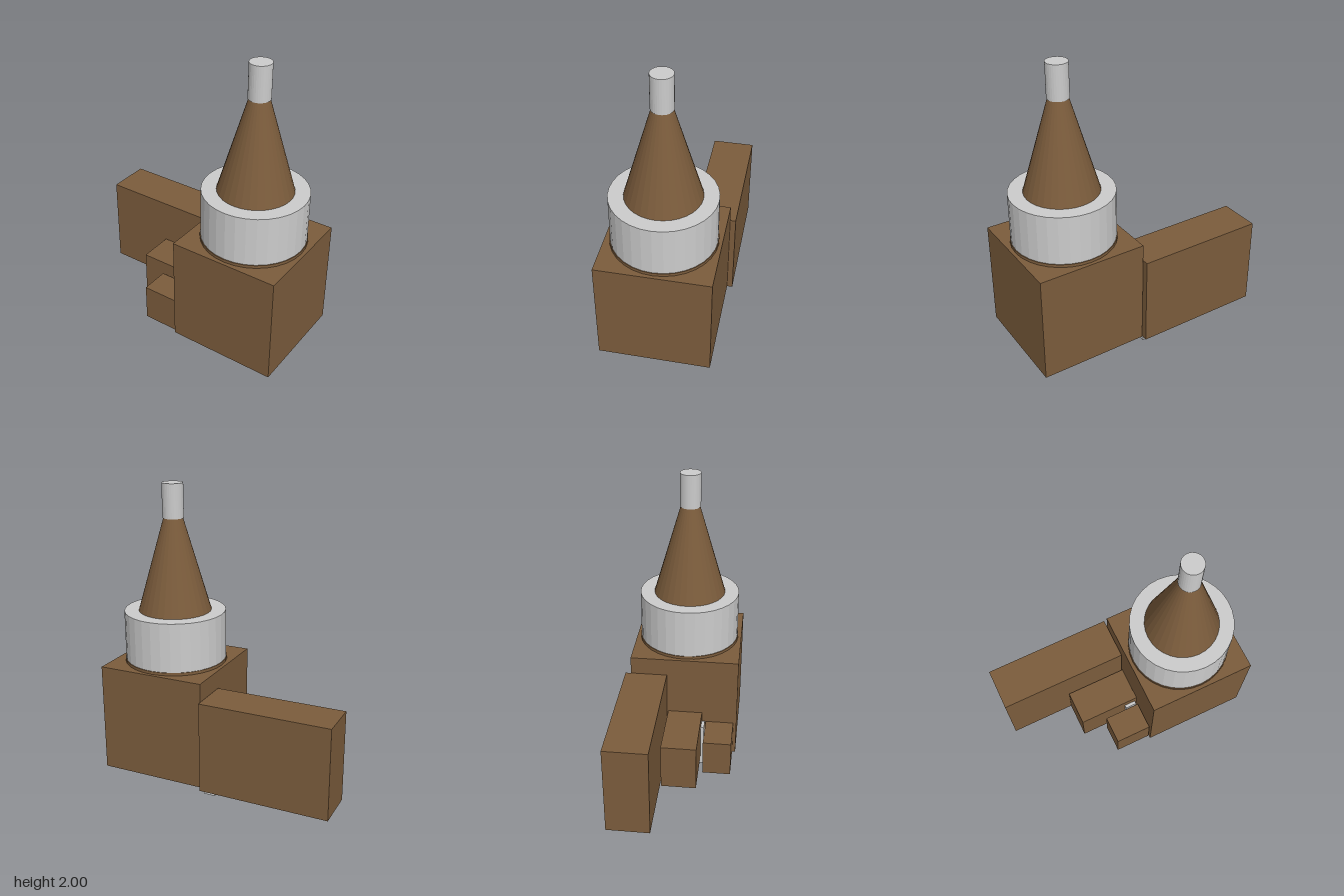
import * as THREE from 'three';

export function createModel() {
  const model = new THREE.Group();
  const brown = new THREE.MeshStandardMaterial({ color: 0x7b5c3c, flatShading: true });
  const grey = new THREE.MeshStandardMaterial({ color: 0xcccccc, flatShading: true });

  const add = (name, geometry, material) => {
    const mesh = new THREE.Mesh(geometry, material);
    mesh.name = name;
    model.add(mesh);
    return mesh;
  };
  // Box given by its extents along each axis
  const box = (name, [x0, x1], [y0, y1], [z0, z1], material) =>
    add(name, new THREE.BoxGeometry(x1 - x0, y1 - y0, z1 - z0), material)
      .position.set((x0 + x1) / 2, (y0 + y1) / 2, (z0 + z1) / 2);
  // Upright round section on the tower axis
  const round = (name, rTop, rBottom, y0, y1, material) =>
    add(name, new THREE.CylinderGeometry(rTop, rBottom, y1 - y0, 32), material)
      .position.set(0.448, (y0 + y1) / 2, 0.017);
  // Short round connector lying along x
  const connector = (name, r, y, z, material) => {
    const mesh = add(name, new THREE.CylinderGeometry(r, r, 0.05, 24), material);
    mesh.rotation.z = Math.PI / 2;
    mesh.position.set(0.06, y, z);
  };

  // Tower: block, collar, drum, cone and tip
  box('towerBase', [0.075, 0.82], [0.045, 0.79], [-0.355, 0.39], brown);
  round('collar', 0.35, 0.35, 0.785, 0.81, brown);
  round('drum', 0.345, 0.345, 0.81, 1.145, grey);
  round('coneRoof', 0.065, 0.247, 1.145, 1.77, brown);
  round('spireTip', 0.071, 0.071, 1.77, 2, grey);

  // Three wings, stepping down towards the front
  box('backWing', [-0.823, 0.07], [0.042, 0.67], [-0.392, -0.103], brown);
  box('middleWing', [-0.36, 0.073], [0.045, 0.37], [-0.095, 0.145], brown);
  box('frontWing', [-0.185, 0.07], [0.045, 0.3], [0.174, 0.368], brown);

  // Plate running through the wings, and joints to the tower
  box('crossPlate', [-0.02, 0.06], [0, 0.308], [-0.345, 0.167], grey);
  connector('backJoint', 0.085, 0.13, -0.215, brown);
  connector('middleJoint', 0.08, 0.13, 0, brown);
  connector('frontJoint', 0.055, 0.09, 0.25, grey);

  return model;
}
